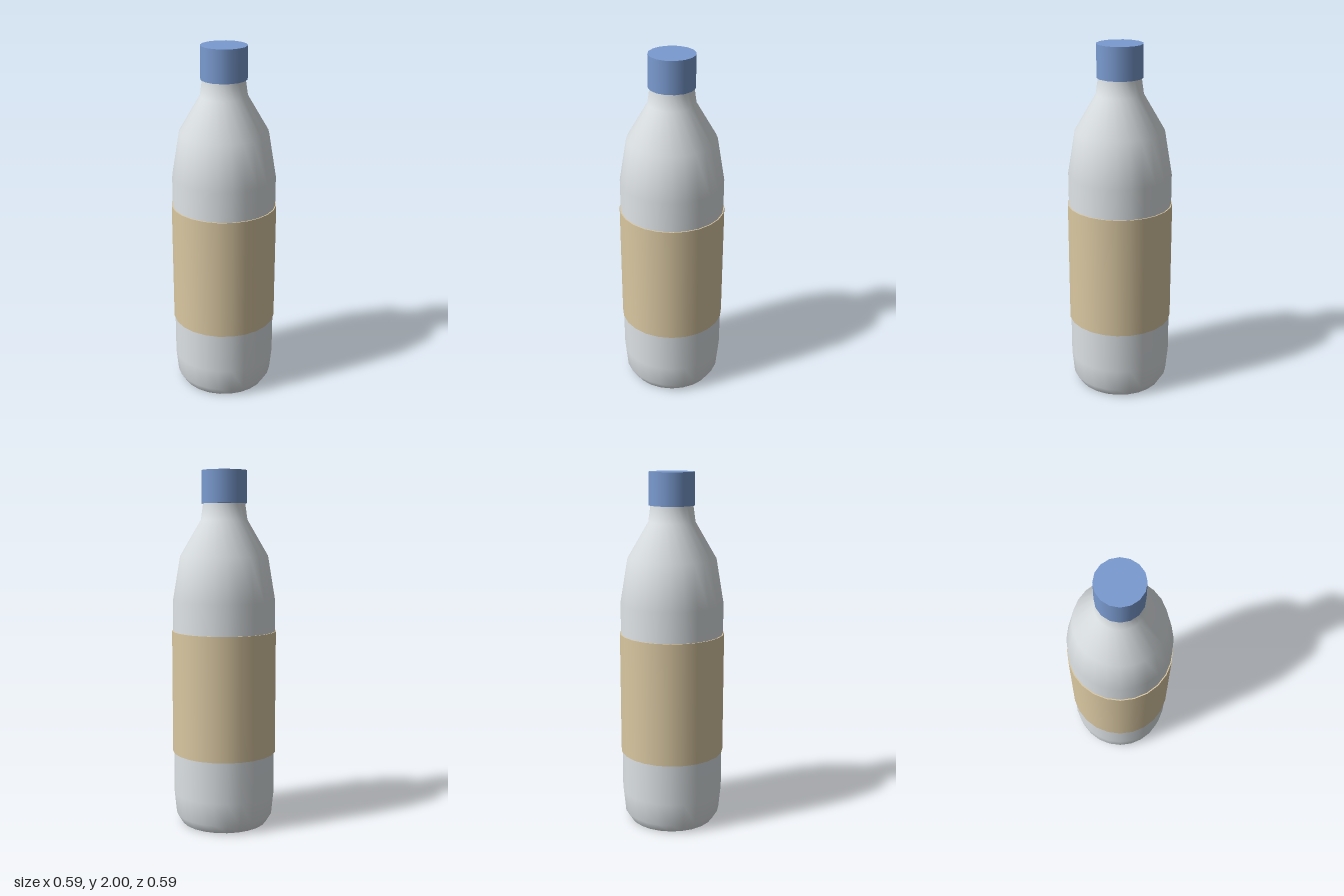
import * as THREE from 'three';

export function createModel() {
  const group = new THREE.Group();

  const add = (name, geometry, color, y = 0) => {
    const mesh = new THREE.Mesh(geometry, new THREE.MeshStandardMaterial({ color }));
    mesh.name = name;
    mesh.position.y = y;
    group.add(mesh);
    return mesh;
  };
  // Closed cylinder standing between two heights
  const drum = (name, radius, bottom, top, sides, color) =>
    add(name, new THREE.CylinderGeometry(radius, radius, top - bottom, sides), color, (bottom + top) / 2);

  const glass = 0xdde2e5;

  // Bottle wall: rounded foot, straight sides, tapering shoulder and neck
  const profile = [
    [0.245, 0], [0.276, 0.05], [0.289, 0.18], [0.289, 1.28],
    [0.247, 1.53], [0.13, 1.73], [0.116, 1.83], [0.116, 1.9],
  ].map(([r, y]) => new THREE.Vector2(r, y));
  add('bottleBody', new THREE.LatheGeometry(profile, 24), glass);

  // Flat underside
  const base = add('bottleBase', new THREE.CircleGeometry(0.245, 24), glass);
  base.rotation.x = Math.PI / 2;

  // Paper band and screw cap
  drum('label', 0.295, 0.415, 1.11, 24, 0xdac8a2);
  drum('cap', 0.127, 1.82, 2, 16, 0x7a9bd0);

  return group;
}
